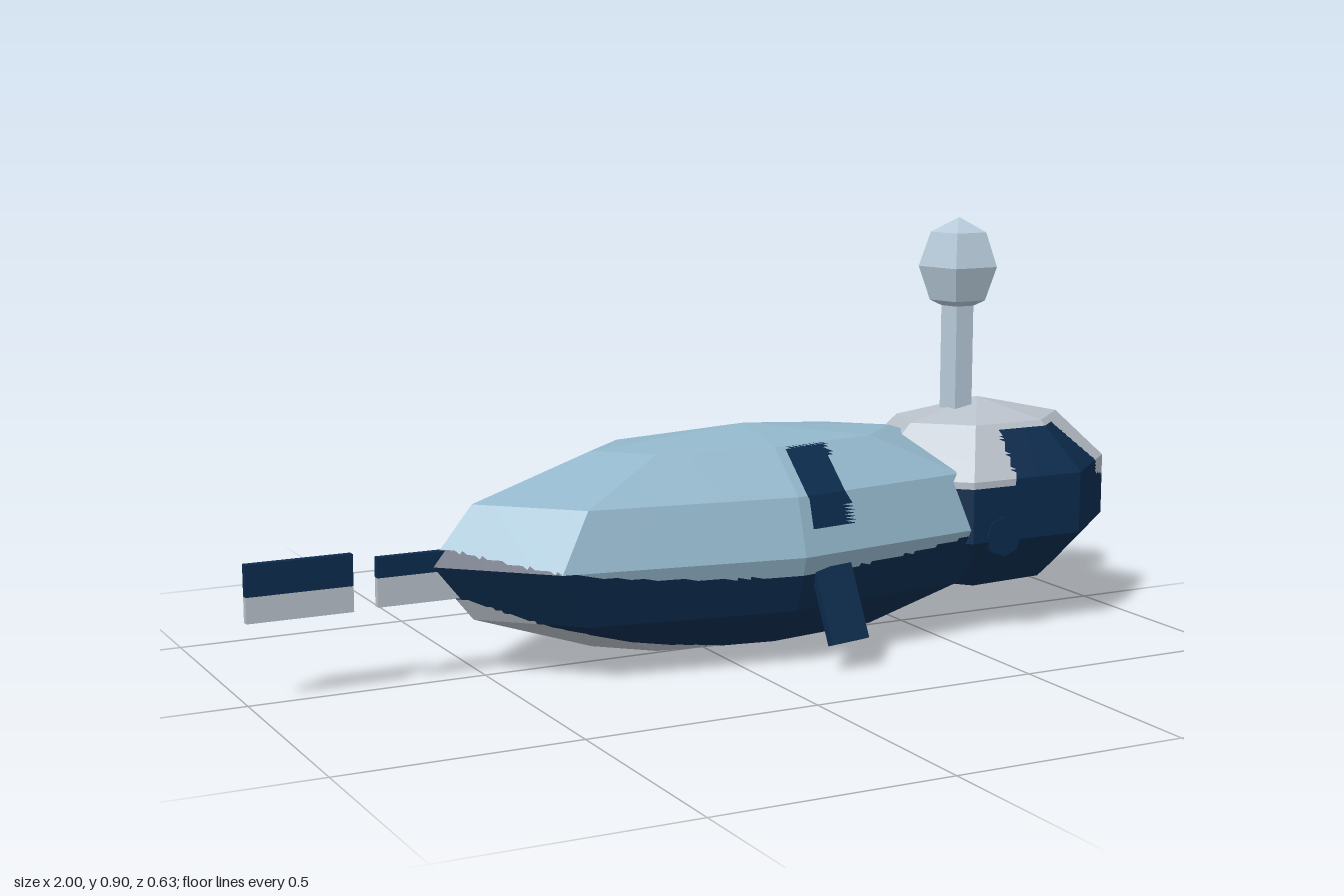
import * as THREE from 'three';

const material = (name, color) => {
  const m = new THREE.MeshStandardMaterial({ color, flatShading: true });
  m.name = name;
  return m;
};

// Splits every flat facet into small triangles and sorts them into colour groups.
function paint(source, rule, colours, n = 18) {
  const p = source.toNonIndexed().attributes.position;
  const buckets = colours.map(() => []);
  const [a, b, c] = [0, 1, 2].map(() => new THREE.Vector3());
  const mid = new THREE.Vector3();
  for (let i = 0; i < p.count; i += 3) {
    [a, b, c].forEach((v, k) => v.fromBufferAttribute(p, i + k));
    const at = (u, v) => new THREE.Vector3()
      .addScaledVector(a, 1 - (u + v) / n).addScaledVector(b, u / n).addScaledVector(c, v / n);
    const add = (...t) => {
      mid.copy(t[0]).add(t[1]).add(t[2]).divideScalar(3);
      const bucket = buckets[rule(mid.x, mid.y, mid.z)];
      t.forEach(q => bucket.push(q.x, q.y, q.z));
    };
    for (let u = 0; u < n; u++) {
      for (let v = 0; v < n - u; v++) {
        add(at(u, v), at(u + 1, v), at(u, v + 1));
        if (u + v < n - 1) add(at(u + 1, v), at(u + 1, v + 1), at(u, v + 1));
      }
    }
  }
  const g = new THREE.BufferGeometry();
  g.setAttribute('position', new THREE.Float32BufferAttribute(buckets.flat(), 3));
  let start = 0;
  buckets.forEach((bucket, i) => {
    g.addGroup(start, bucket.length / 3, i);
    start += bucket.length / 3;
  });
  g.computeVertexNormals();
  return g;
}

export function createModel() {
  const model = new THREE.Group();
  const sky = material('sky blue', 0x92b6ca);
  const navy = material('navy', 0x0c2b4d);
  const grey = material('pale grey', 0xb9c1ca);
  const mist = material('mist blue', 0xb6c9d9);

  const add = (name, geometry, mat, x = 0, y = 0, z = 0) => {
    const mesh = new THREE.Mesh(geometry, mat);
    mesh.name = name;
    mesh.position.set(x, y, z);
    model.add(mesh);
    return mesh;
  };
  const box = (name, mat, x0, x1, y0, y1, depth) =>
    add(name, new THREE.BoxGeometry(x1 - x0, y1 - y0, depth), mat, (x0 + x1) / 2, (y0 + y1) / 2);

  // Faceted body: blue back, navy flanks, grey belly, navy side patches
  const bodyShape = new THREE.SphereGeometry(1, 8, 6).scale(0.72, 0.24, 0.275).translate(0.1, 0.24, 0);
  const bodyRule = (x, y, z) => {
    const d = (x - 0.12) ** 2;
    if (Math.abs(x - 0.18) < 0.05 && y > 0.295 && y < 0.445 && Math.abs(z) > 0.12) return 1;
    if (y > 0.2 + 0.15 * d) return 0;
    return y < Math.min(0.165, 0.028 + (x < 0.12 ? 0.32 : 0.12) * d) ? 2 : 1;
  };
  add('body', paint(bodyShape, bodyRule, [sky, navy, grey]), [sky, navy, grey]);

  // Seven-sided head with a pale crown and brow
  const headShape = new THREE.SphereGeometry(1, 7, 5).rotateY(-Math.PI / 2)
    .scale(0.336, 0.218, 0.242).translate(0.69, 0.277, 0);
  const headRule = (x, y, z) => {
    const crown = y > 0.44 || (x < 0.66 && y > 0.33);
    const brow = z < 0.1 && z > -0.13 && y > 0.3 + 0.3 * Math.abs(z - 0.05);
    return crown || brow ? 0 : 1;
  };
  add('head', paint(headShape, headRule, [grey, navy]), [grey, navy]);

  // Five-sided stalk and bulb
  add('stalk', new THREE.CylinderGeometry(0.037, 0.037, 0.28, 5).rotateY(Math.PI), mist, 0.635, 0.57, 0);
  add('bulb', new THREE.SphereGeometry(1, 5, 4).rotateY(-Math.PI / 2).scale(0.09, 0.106, 0.09),
    mist, 0.635, 0.791, 0);

  // Eyes and side fins
  for (const side of [1, -1]) {
    add(side > 0 ? 'leftEye' : 'rightEye', new THREE.CylinderGeometry(0.045, 0.045, 0.02, 8).rotateX(Math.PI / 2),
      navy, side > 0 ? 0.63 : 0.575, 0.22, side > 0 ? 0.2 : -0.22);
    const fin = add(side > 0 ? 'leftFin' : 'rightFin', new THREE.BoxGeometry(0.088, 0.16, 0.02),
      navy, 0.18, 0.134, side * 0.275);
    fin.rotation.set(-side * 0.37, 0, 0.07);
  }

  // Two-tone tail plates
  box('tailRootUpper', navy, -0.73, -0.52, 0.23, 0.272, 0.016);
  box('tailRootLower', grey, -0.73, -0.5, 0.17, 0.23, 0.016);
  box('tailTipUpper', navy, -1, -0.78, 0.22, 0.285, 0.016);
  box('tailTipLower', grey, -1, -0.78, 0.167, 0.22, 0.016);

  return model;
}
